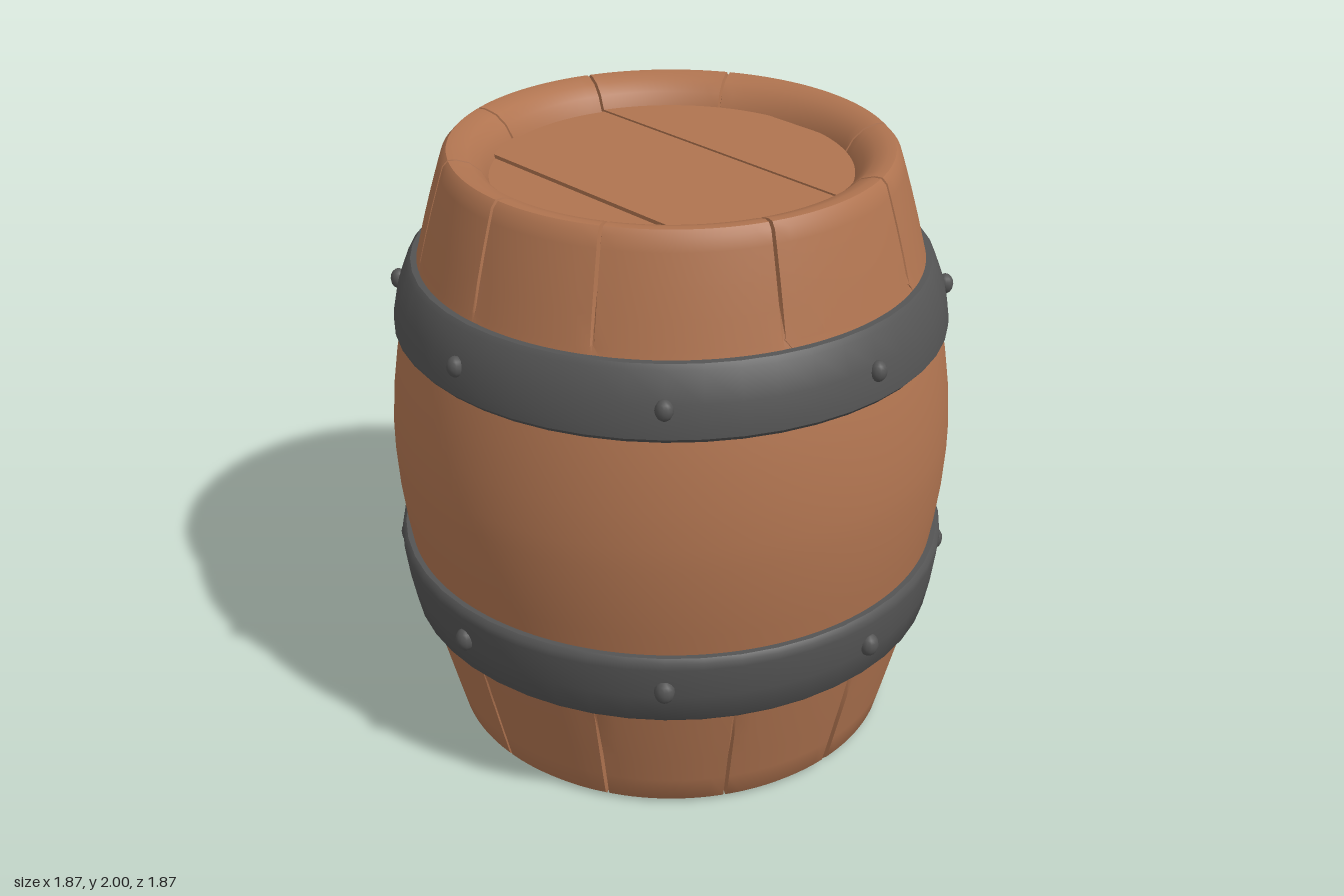
import * as THREE from 'three';
import { toCreasedNormals } from 'three/addons/utils/BufferGeometryUtils.js';

const wood = new THREE.MeshStandardMaterial({ color: 0xb07450 });
wood.name = 'wood';
const iron = new THREE.MeshStandardMaterial({ color: 0x545454 });
iron.name = 'iron';

const DEG = Math.PI / 180;
const points = (list) => list.map(([r, y]) => new THREE.Vector2(r, y));

function addMesh(parent, name, geometry, material) {
  const mesh = new THREE.Mesh(geometry, material);
  mesh.name = name;
  parent.add(mesh);
  return mesh;
}

// Seams between the staves: angle from the front, and the solid core they are cut towards
const seamZones = [
  { inZone: (y) => y > 1.66, core: [0.62, 1.84], fade: (y) => Math.min(1, (y - 1.6) / 0.2),
    angles: [0, 30, 70, 110, 150, 210, 250, 290, 330] },
  { inZone: (y) => y < 0.42, core: [0.66, 0.15], fade: (y) => Math.min(1, (0.5 - y) / 0.25),
    angles: [0, 30, 60, 90, 120, 150, 180, 210, 240, 270, 300, 330] },
];

// Pinch the lathe vertices beside each seam together and sink the one on it
function cutSeams(geometry) {
  const pos = geometry.attributes.position;
  for (let i = 0; i < pos.count; i++) {
    let r = Math.hypot(pos.getX(i), pos.getZ(i));
    let y = pos.getY(i);
    const zone = seamZones.find((s) => s.inZone(y));
    if (!zone || r < 0.57) continue;
    let phi = Math.atan2(pos.getX(i), pos.getZ(i)) / DEG;
    for (const seam of zone.angles) {
      const d = ((phi - seam + 540) % 360) - 180;
      if (Math.abs(d) > 2.5) continue;
      const wide = y < 0.5 && seam === 90;
      if (Math.abs(d) > 0.5) {
        phi = seam + Math.sign(d) * (wide ? 0.9 : 0.45);
      } else {
        const dr = zone.core[0] - r, dy = zone.core[1] - y;
        const k = ((wide ? 0.05 : 0.022) * zone.fade(y)) / Math.hypot(dr, dy);
        r += dr * k;
        y += dy * k;
      }
      break;
    }
    pos.setXYZ(i, r * Math.sin(phi * DEG), y, r * Math.cos(phi * DEG));
  }
  return toCreasedNormals(geometry, 32 * DEG);
}

// One plank of the lid: the slice of a disc between two z values
function lidPlank(radius, z0, z1) {
  const a0 = Math.asin(z0 / radius), a1 = Math.asin(z1 / radius);
  const shape = new THREE.Shape();
  shape.absarc(0, 0, radius, a0, a1, false);
  shape.absarc(0, 0, radius, Math.PI - a1, Math.PI - a0, false);
  shape.closePath();
  return new THREE.ExtrudeGeometry(shape, { depth: 0.04, bevelEnabled: false, curveSegments: 16 })
    .rotateX(Math.PI / 2);
}

export function createModel() {
  const barrel = new THREE.Group();
  barrel.name = 'barrel';

  // Bulging body, with rounded rims and a recessed head at each end
  const profile = points([
    [0, 0.08], [0.6, 0.08], [0.625, 0.06], [0.65, 0.025], [0.685, 0.006], [0.725, 0.003], [0.742, 0.02],
    [0.765, 0.11], [0.79, 0.21], [0.815, 0.31], [0.838, 0.41], [0.845, 0.44],
    [0.877, 0.66], [0.893, 0.76], [0.907, 0.88], [0.914, 1.0], [0.914, 1.08], [0.905, 1.2],
    [0.888, 1.32], [0.868, 1.42], [0.84, 1.53], [0.808, 1.64], [0.8, 1.67], [0.777, 1.76], [0.752, 1.85],
    [0.725, 1.94], [0.712, 1.98], [0.695, 1.998], [0.67, 1.998], [0.63, 1.985], [0.595, 1.955],
    [0.572, 1.915], [0.56, 1.88], [0, 1.88],
  ]);
  addMesh(barrel, 'staves', cutSeams(new THREE.LatheGeometry(profile, 180)), wood);

  // Lid planks at slightly different heights
  const lid = new THREE.Group();
  lid.name = 'lid';
  barrel.add(lid);
  for (const [z0, z1, top] of [[-0.56, -0.2, 1.914], [-0.2, 0.17, 1.908], [0.17, 0.33, 1.914], [0.33, 0.56, 1.902]]) {
    addMesh(lid, 'lidPlank', lidPlank(0.572, z0, z1), wood).position.y = top;
  }

  // Iron hoops, each with eight rivets
  const hoops = [
    { name: 'upperHoop', rivetY: 1.525, rivetR: 0.878, size: 0.031,
      section: [[0.85, 1.42], [0.877, 1.42], [0.89, 1.435], [0.888, 1.47], [0.874, 1.54],
        [0.84, 1.63], [0.826, 1.645], [0.79, 1.648]] },
    { name: 'lowerHoop', rivetY: 0.565, rivetR: 0.903, size: 0.036,
      section: [[0.83, 0.43], [0.867, 0.43], [0.882, 0.445], [0.9, 0.54], [0.914, 0.65],
        [0.912, 0.672], [0.9, 0.685], [0.86, 0.685]] },
  ];
  for (const { name, rivetY, rivetR, size, section } of hoops) {
    const hoop = new THREE.Group();
    hoop.name = name;
    barrel.add(hoop);
    addMesh(hoop, 'band', toCreasedNormals(new THREE.LatheGeometry(points(section), 48), 40 * DEG), iron);
    const rivetGeometry = new THREE.SphereGeometry(size, 12, 8).scale(0.9, 1.08, 0.85);
    for (let i = 0; i < 8; i++) {
      const angle = i * 45 * DEG;
      const rivet = addMesh(hoop, 'rivet', rivetGeometry, iron);
      rivet.position.set(rivetR * Math.sin(angle), rivetY, rivetR * Math.cos(angle));
      rivet.rotation.y = angle;
    }
  }
  return barrel;
}
